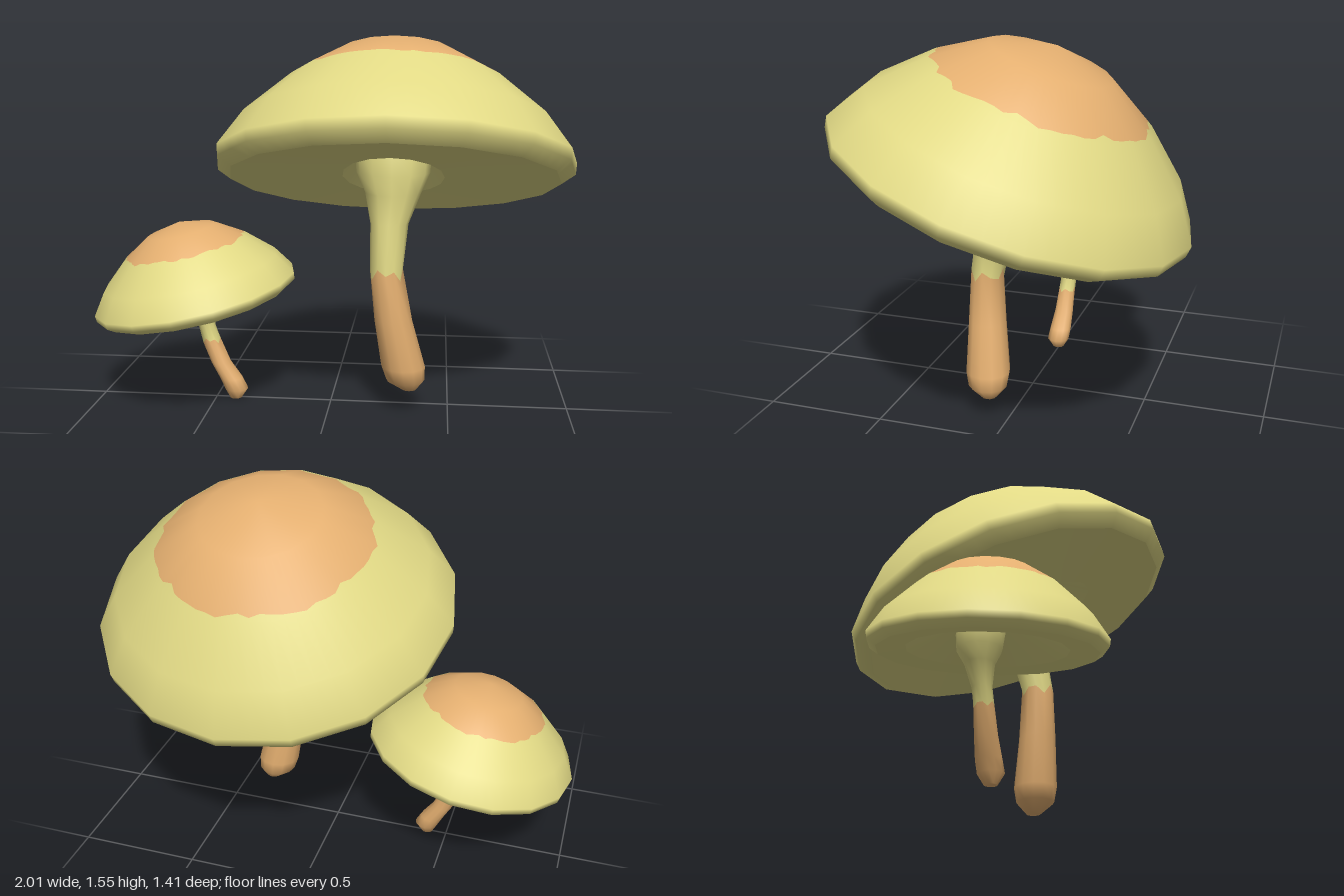
import * as THREE from 'three';

const flat = (name, color) => {
  const m = new THREE.MeshStandardMaterial({ color });
  m.name = name;
  return m;
};

const SIDES = 16, SEGMENTS = 64, STEP = (Math.PI * 2) / SIDES;

// Mesh whose triangle lists each take one of the materials
function grouped(geo, lists, materials) {
  geo.clearGroups();
  geo.setIndex(lists.flat());
  let start = 0;
  lists.forEach((list, m) => {
    geo.addGroup(start, list.length, m);
    start += list.length;
  });
  return new THREE.Mesh(geo, materials);
}

// Sixteen-sided dome turned from a profile; the ring `ragged` is the wavy edge of the crown colour
function turnedDome(profile, ragged, materials) {
  const pts = profile.map(([r, y]) => new THREE.Vector2(r, y));
  const geo = new THREE.LatheGeometry(pts, SEGMENTS);
  const pos = geo.attributes.position, nor = geo.attributes.normal, n = pts.length;
  for (let i = 0; i < pos.count; i++) {
    const j = i % n, a = (Math.floor(i / n) / SEGMENTS) * Math.PI * 2;
    let { x: r, y } = pts[j];
    if (j === ragged) {
      const d = 0.007 * Math.sin(7 * a) + 0.006 * Math.sin(17 * a + 1) + 0.005 * Math.sin(25 * a);
      const next = pts[d > 0 ? j - 1 : j + 1];
      y += (next.y - y) * (d / (next.x - r));
      r += d;
      nor.setXYZ(i, nor.getX(i - 1), nor.getY(i - 1), nor.getZ(i - 1));
    }
    if (j === n - 1) nor.setXYZ(i, 0, 1, 0);
    const k = Math.cos(STEP / 2) / Math.cos((a % STEP) - STEP / 2);
    pos.setXYZ(i, r * k * Math.sin(a), y, r * k * Math.cos(a));
  }
  const lists = [[], []];
  for (let s = 0; s < SEGMENTS; s++) {
    for (let j = 0; j < n - 1; j++) {
      const a = s * n + j, b = a + n;
      lists[j < ragged ? 0 : 1].push(a, b, a + 1, b + 1, a + 1, b);
    }
  }
  return grouped(geo, lists, materials);
}

// Downward-facing band between two sixteen-sided ovals [radiusX, radiusZ, height]
function underBand(inner, outer, material) {
  const verts = [], index = [];
  for (const [rx, rz, y] of [inner, outer]) {
    for (let i = 0; i < SIDES; i++) verts.push(rx * Math.sin(i * STEP), y, rz * Math.cos(i * STEP));
  }
  for (let i = 0; i < SIDES; i++) {
    const b = (i + 1) % SIDES;
    index.push(i, b, i + SIDES, b + SIDES, i + SIDES, b);
  }
  const geo = new THREE.BufferGeometry();
  geo.setAttribute('position', new THREE.Float32BufferAttribute(verts, 3));
  geo.setIndex(index);
  geo.computeVertexNormals();
  return new THREE.Mesh(geo, material);
}

// Bent stalk through rings [x, y, z, radius], bottom to top; colour changes at ring `split`
function stalk(rings, split, jag, materials) {
  const N = 12, verts = [], lists = [[], []];
  rings.forEach(([x, y, z, r], j) => {
    for (let i = 0; i < N; i++) {
      const a = (i / N) * Math.PI * 2;
      const dy = j === split ? jag * Math.sin(i * 2.4) : 0;
      verts.push(x + r * Math.sin(a), y + dy, z + r * Math.cos(a));
    }
  });
  for (let j = 0; j < rings.length - 1; j++) {
    for (let i = 0; i < N; i++) {
      const a = j * N + i, b = j * N + ((i + 1) % N);
      lists[j < split ? 0 : 1].push(a, b, a + N, b + N, a + N, b);
    }
  }
  for (let i = 1; i < N - 1; i++) lists[0].push(0, i + 1, i); // foot
  const geo = new THREE.BufferGeometry();
  geo.setAttribute('position', new THREE.Float32BufferAttribute(verts, 3));
  const mesh = grouped(geo, lists, materials);
  geo.computeVertexNormals();
  return mesh;
}

// Domed cap with a coloured crown, a flat underside and a hollow around the stem
function mushroomCap(mats, hollowX, hollowZ) {
  const cap = new THREE.Group();
  const dome = turnedDome(
    [[0.68, -0.058], [0.735, -0.02], [0.74, 0.026], [0.638, 0.177], [0.45, 0.35],
      [0.434, 0.361], [0.245, 0.48], [0, 0.541]],
    5, [mats.yellow, mats.orange]);
  dome.name = 'capDome';
  const edge = [hollowX, hollowZ, -0.04];
  const under = underBand(edge, [0.68, 0.68, -0.058], mats.yellow);
  under.name = 'capUnderside';
  const hollow = underBand([0, 0, 0.22], edge, mats.yellow);
  hollow.name = 'capHollow';
  cap.add(dome, under, hollow);
  return cap;
}

export function createModel() {
  const mats = {
    yellow: flat('pale yellow', 0xe1d985),
    orange: flat('tan orange', 0xe4af70),
  };
  const stemMats = [mats.orange, mats.yellow];
  const model = new THREE.Group();
  model.name = 'mushrooms';

  // Large mushroom, cap tipped backwards
  const large = new THREE.Group();
  large.name = 'largeMushroom';
  const largeCap = mushroomCap(mats, 0.21, 0.36);
  largeCap.name = 'largeCap';
  largeCap.position.set(0.26, 1.02, 0);
  largeCap.rotation.x = -0.338;
  const largeStem = stalk([
    [0.338, 0.095, 0.08, 0.03], [0.322, 0.14, 0.09, 0.08], [0.312, 0.2, 0.092, 0.091],
    [0.27, 0.4, 0.107, 0.078], [0.24, 0.6, 0.115, 0.067], [0.248, 0.8, 0.075, 0.078],
    [0.26, 0.92, 0.03, 0.115], [0.258, 1.0, 0, 0.152], [0.258, 1.1, -0.02, 0.16],
    [0.258, 1.22, -0.04, 0.14],
  ], 4, 0.025, stemMats);
  largeStem.name = 'largeStem';
  large.add(largeCap, largeStem);

  // Small mushroom, cap tipped sideways
  const small = new THREE.Group();
  small.name = 'smallMushroom';
  const smallCap = mushroomCap(mats, 0.5, 0.5);
  smallCap.name = 'smallCap';
  smallCap.position.set(-0.578, 0.47, 0.015);
  smallCap.rotation.set(0.05, 0, 0.198);
  smallCap.scale.setScalar(0.587);
  const smallStem = stalk([
    [-0.415, 0.003, 0.005, 0.025], [-0.412, 0.045, 0.005, 0.05], [-0.435, 0.09, 0, 0.049],
    [-0.48, 0.16, -0.003, 0.043], [-0.52, 0.258, -0.006, 0.038], [-0.54, 0.32, -0.01, 0.037],
    [-0.565, 0.4, -0.015, 0.055], [-0.575, 0.45, -0.015, 0.083], [-0.585, 0.51, -0.01, 0.09],
    [-0.595, 0.6, -0.005, 0.08],
  ], 4, 0.012, stemMats);
  smallStem.name = 'smallStem';
  small.add(smallCap, smallStem);

  model.add(large, small);
  return model;
}
